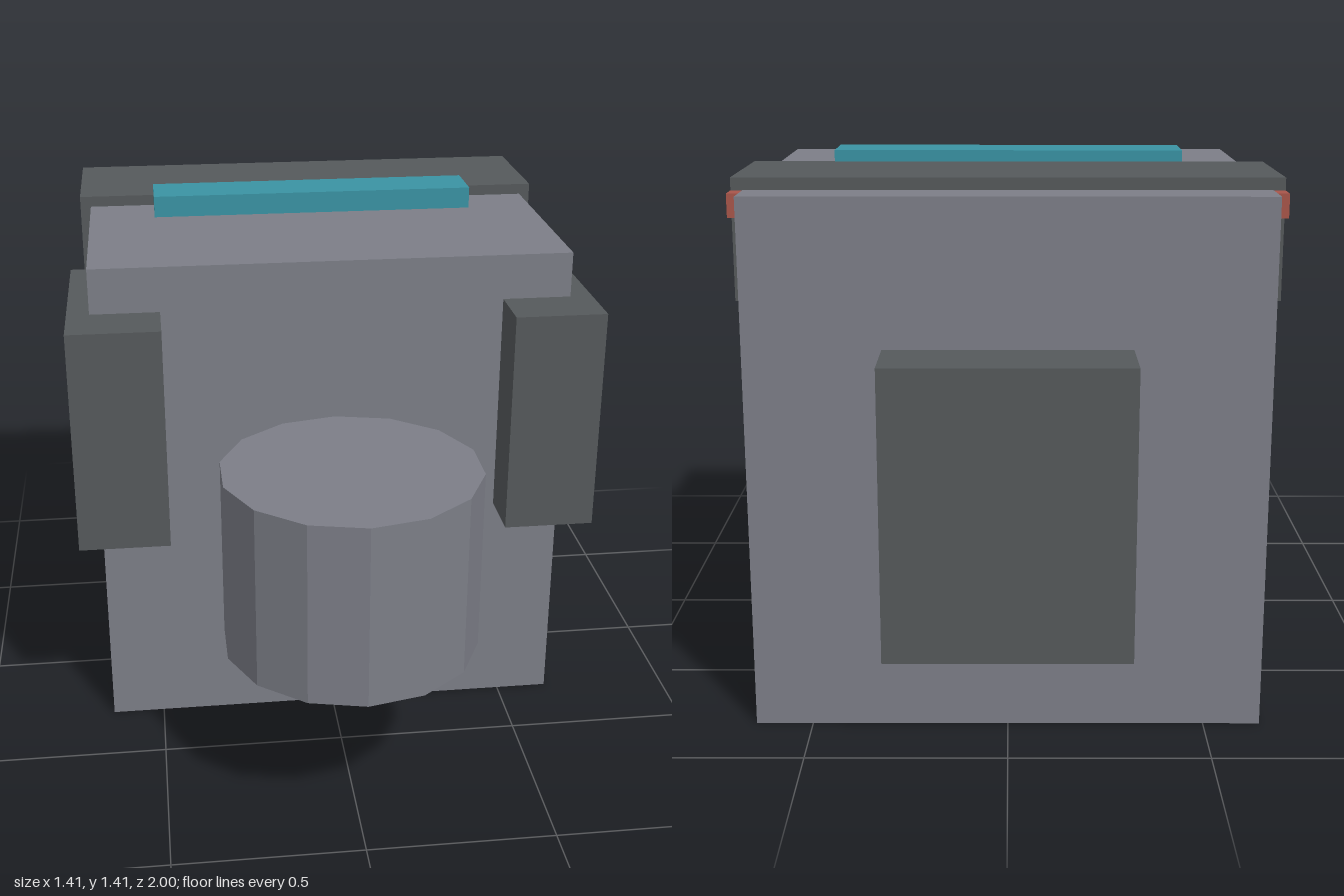
import * as THREE from 'three';

const material = (color) => new THREE.MeshStandardMaterial({ color, flatShading: true });

export function createModel() {
  const model = new THREE.Group();
  model.name = 'blockyHead';
  const grey = material(0x7c7e87);
  const dark = material(0x55595b);
  const teal = material(0x3a93a3);
  const red = material(0xa8554a);
  const purple = material(0x6a4a72);

  const add = (name, geometry, mat, x, y, z) => {
    const mesh = new THREE.Mesh(geometry, mat);
    mesh.name = name;
    mesh.position.set(x, y, z);
    model.add(mesh);
  };

  // Box given by its extents on each axis
  const box = (name, mat, [x0, x1], [y0, y1], [z0, z1]) =>
    add(name, new THREE.BoxGeometry(x1 - x0, y1 - y0, z1 - z0), mat,
      (x0 + x1) / 2, (y0 + y1) / 2, (z0 + z1) / 2);

  // Main block with the pack on its back
  box('body', grey, [-0.645, 0.645], [0, 1.355], [-0.815, 0.295]);
  box('backPack', dark, [-0.305, 0.305], [0.25, 0.985], [-1, -0.815]);

  // Band over the top and the bar in front of it
  box('topBand', dark, [-0.675, 0.675], [1.08, 1.385], [-0.69, -0.325]);
  box('topBar', teal, [-0.46, 0.46], [1.34, 1.415], [-0.335, -0.187]);

  // Mirrored side pads and small rear lamps
  for (const [side, s] of [['left', 1], ['right', -1]]) {
    const span = (a, b) => (s > 0 ? [a, b] : [-b, -a]);
    box(side + 'SidePad', dark, span(0.46, 0.705), [0.62, 1.232], [-0.105, 0.448]);
    box(side + 'RearLamp', red, span(0.615, 0.675), [1.295, 1.354], [-0.752, -0.69]);
  }

  // Fourteen-sided drum in front, with a thin disc underneath
  add('frontDrum', new THREE.CylinderGeometry(0.337, 0.337, 0.49, 14), grey, 0, 0.68, 0.663);
  add('drumBase', new THREE.CylinderGeometry(0.31, 0.31, 0.006, 14), purple, 0, 0.433, 0.663);

  return model;
}
